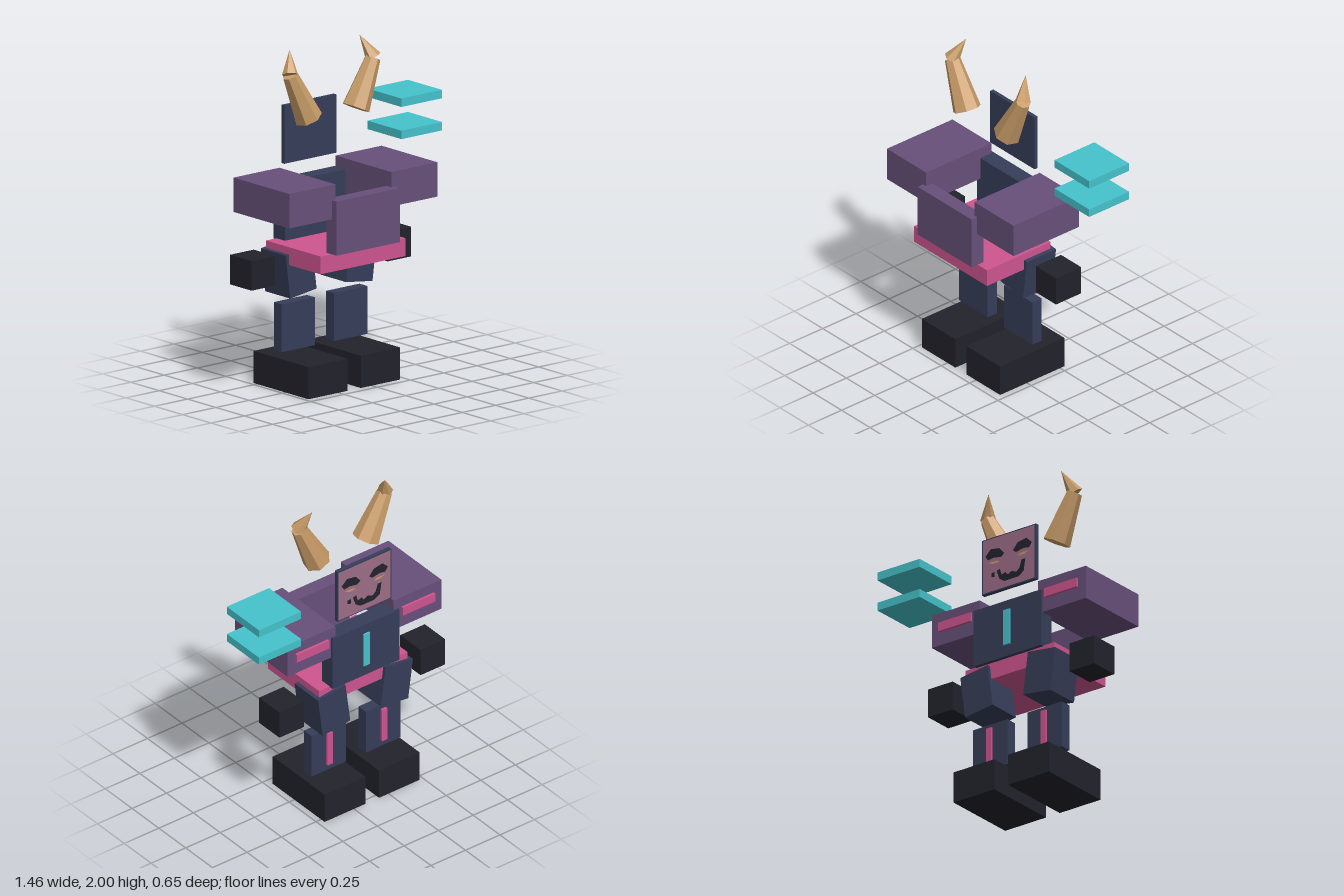
import * as THREE from 'three';

const mat = (name, color, flatShading = false) => {
  const m = new THREE.MeshStandardMaterial({ color });
  m.name = name;
  m.flatShading = flatShading;
  return m;
};

export function createModel() {
  const purple = mat('purple armour', 0x67507a);
  const navy = mat('navy cloth', 0x363d58);
  const pink = mat('pink trim', 0xcf5590);
  const teal = mat('teal panel', 0x45c3cc);
  const black = mat('black', 0x22222c);
  const gold = mat('horn tan', 0xca9d69, true);
  const skin = mat('mauve face', 0x9d6d88);

  const root = new THREE.Group();
  root.name = 'hornedFigure';
  const CX = -0.132; // the body's own centre line

  // Box given by its limits on each axis
  const box = (name, m, [x0, x1], [y0, y1], [z0, z1]) => {
    const mesh = new THREE.Mesh(new THREE.BoxGeometry(x1 - x0, y1 - y0, z1 - z0), m);
    mesh.position.set((x0 + x1) / 2, (y0 + y1) / 2, (z0 + z1) / 2);
    mesh.name = name;
    root.add(mesh);
    return mesh;
  };
  // Box centred sideways at x
  const boxAt = (name, m, x, w, y, z) => box(name, m, [x - w / 2, x + w / 2], y, z);

  // Tapered prism running from a to b
  const taper = (name, a, b, r0, r1, sides) => {
    const p = new THREE.Vector3(...a), q = new THREE.Vector3(...b);
    const d = q.clone().sub(p);
    const mesh = new THREE.Mesh(new THREE.CylinderGeometry(r1, r0, d.length(), sides), gold);
    mesh.position.copy(p).add(q).multiplyScalar(0.5);
    mesh.quaternion.setFromUnitVectors(new THREE.Vector3(0, 1, 0), d.normalize());
    mesh.name = name;
    root.add(mesh);
  };

  // Torso
  boxAt('chestPlate', purple, CX, 0.475, [0.855, 1.175], [0.237, 0.325]);
  boxAt('backPlate', navy, CX, 0.485, [0.85, 1.2], [-0.225, -0.125]);
  boxAt('backStripe', teal, CX, 0.045, [0.92, 1.14], [-0.235, -0.223]);
  boxAt('waist', pink, CX, 0.64, [0.75, 0.855], [-0.2, 0.28]);

  // Floating side panels
  for (const y of [1.34, 1.53]) box('sidePanel', teal, [0.42, 0.725], [y, y + 0.05], [-0.33, -0.03]);

  // Mirrored limbs and horns
  for (const s of [-1, 1]) {
    const side = s > 0 ? 'left' : 'right';
    const X = (d) => CX + s * d;
    boxAt(side + 'Shoulder', purple, X(0.384), 0.345, [1.062, 1.265], [-0.21, 0.283]);
    boxAt(side + 'ShoulderTrim', pink, X(0.384), 0.235, [1.145, 1.2], [-0.226, -0.208]);
    boxAt(side + 'Hand', black, X(0.511), 0.178, [0.645, 0.82], [-0.19, 0]);
    const thigh = boxAt(side + 'Thigh', navy, X(0.227), 0.2, [0.561, 0.823], [-0.22, 0]);
    thigh.rotation.z = -s * 0.131;
    boxAt(side + 'Shin', navy, X(0.197), 0.25, [0.222, 0.505], [-0.13, -0.06]);
    boxAt(side + 'ShinTrim', pink, X(0.197), 0.037, [0.263, 0.48], [-0.145, -0.128]);
    boxAt(side + 'Foot', black, X(0.197), 0.295, [0, 0.19], [-0.282, 0.202]);
    taper(side + 'Horn', [X(0.178), 1.597, 0.005], [X(0.311), 1.87, 0], 0.083, 0.046, 7);
    taper(side + 'HornTip', [X(0.313), 1.872, 0.004], [X(0.263), 2, -0.06], 0.048, 0.001, 6);
  }

  // Head slab, its face is on the back side
  boxAt('head', navy, CX, 0.39, [1.29, 1.635], [-0.209, -0.185]);
  const face = new THREE.Group();
  face.name = 'face';
  face.position.set(CX, 1.4625, -0.209);
  face.rotation.y = Math.PI;
  root.add(face);

  // Painted patch: points in 0..1 across and down the slab
  const patch = (name, m, pts, lift) => {
    const shape = new THREE.Shape(pts.map(([u, v]) => new THREE.Vector2((u - 0.5) * 0.39, (0.5 - v) * 0.345)));
    const mesh = new THREE.Mesh(new THREE.ShapeGeometry(shape), m);
    mesh.position.z = lift;
    mesh.name = name;
    face.add(mesh);
  };
  patch('faceSkin', skin, [[0.02, 0.02], [0.98, 0.02], [0.98, 0.98], [0.02, 0.98]], 0.002);
  for (const f of [(u) => u, (u) => 1 - u]) {
    patch('eye', black, [[0.07, 0.32], [0.17, 0.21], [0.33, 0.24], [0.42, 0.36], [0.36, 0.41], [0.22, 0.38], [0.12, 0.4]]
      .map(([u, v]) => [f(u), v]), 0.004);
    patch('eyeLine', gold, [[0.12, 0.45], [0.28, 0.45], [0.34, 0.49], [0.2, 0.49]]
      .map(([u, v]) => [f(u), v]), 0.004);
  }
  // Toothed grin and a spot beside it
  patch('mouth', black, [[0.28, 0.64], [0.34, 0.62], [0.37, 0.74], [0.44, 0.71], [0.48, 0.77], [0.56, 0.73],
    [0.64, 0.77], [0.7, 0.72], [0.74, 0.58], [0.81, 0.58], [0.78, 0.8], [0.68, 0.87], [0.42, 0.87], [0.33, 0.8]], 0.004);
  patch('mouthSpot', black, [[0.18, 0.65], [0.24, 0.65], [0.24, 0.74], [0.18, 0.72]], 0.004);

  return root;
}
